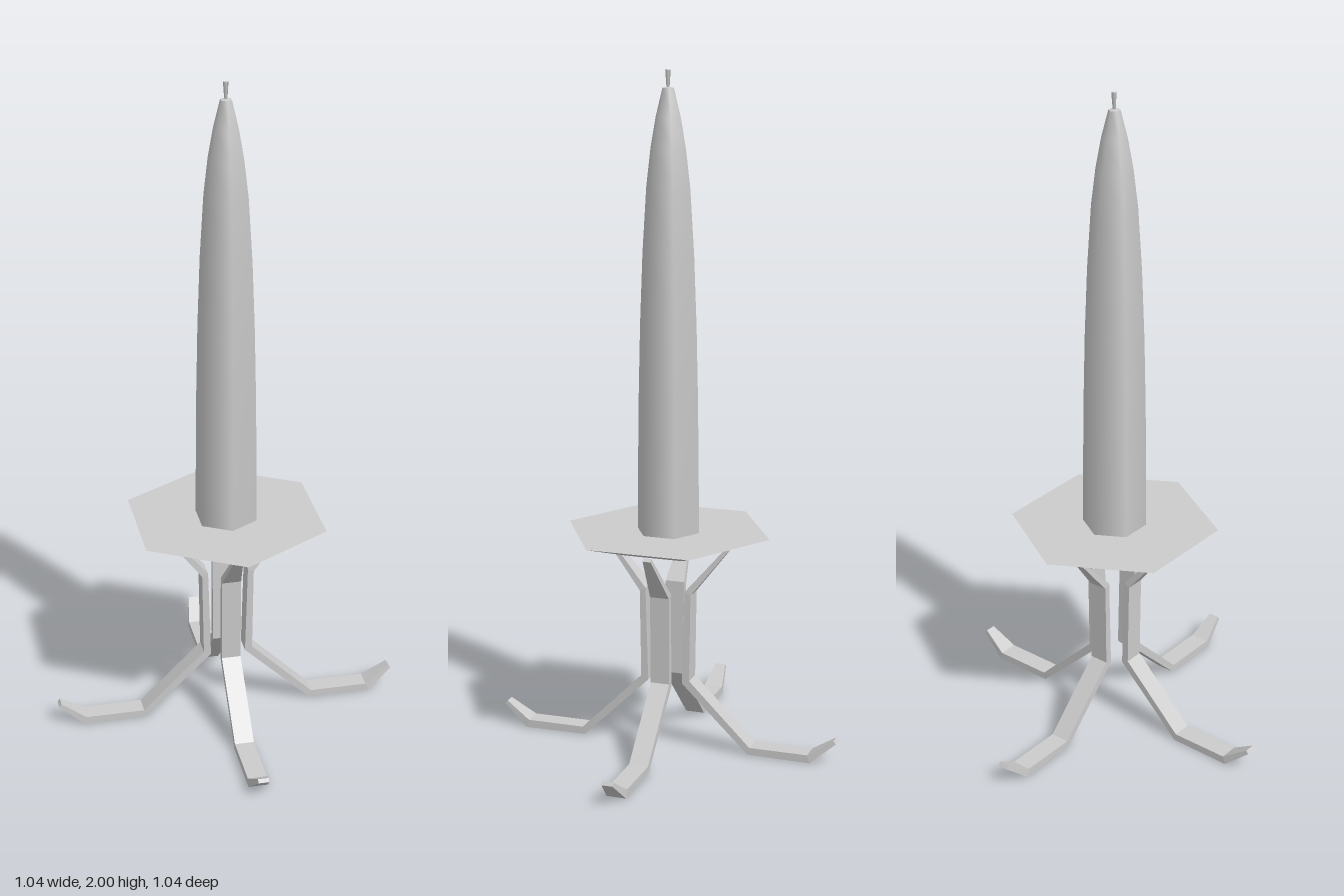
import * as THREE from 'three';

const material = new THREE.MeshStandardMaterial({ color: 0xcccccc, side: THREE.DoubleSide });

// Turned part from [radius, height] pairs
function turned(name, profile, sides) {
  const points = profile.map(([r, y]) => new THREE.Vector2(r, y));
  const mesh = new THREE.Mesh(new THREE.LatheGeometry(points, sides), material);
  mesh.name = name;
  return mesh;
}

// Leg stations: outer x, y, inner x, y, half width
const legStations = [
  [0.19, 0.617, 0.182, 0.625, 0.012],
  [0.079, 0.475, 0.061, 0.485, 0.029],
  [0.075, 0.21, 0.053, 0.2, 0.029],
  [0.263, 0.024, 0.257, 0.002, 0.029],
  [0.44, 0.024, 0.448, 0, 0.029],
  [0.515, 0.073, 0.522, 0.063, 0.016],
];

// Bent flat bar lofted through rectangular sections
function legGeometry() {
  const rings = legStations.map(([ox, oy, ix, iy, w]) =>
    [[ox, oy, w], [ox, oy, -w], [ix, iy, -w], [ix, iy, w]]);
  const positions = [];
  const quad = (a, b, c, d) => positions.push(...a, ...b, ...c, ...a, ...c, ...d);
  for (let i = 0; i < rings.length - 1; i++) {
    const r = rings[i], s = rings[i + 1];
    for (let k = 0; k < 4; k++) {
      const n = (k + 1) % 4;
      quad(r[k], s[k], s[n], r[n]);
    }
  }
  const first = rings[0], last = rings[rings.length - 1];
  quad(first[0], first[1], first[2], first[3]);
  quad(last[0], last[3], last[2], last[1]);
  const geometry = new THREE.BufferGeometry();
  geometry.setAttribute('position', new THREE.Float32BufferAttribute(positions, 3));
  geometry.computeVertexNormals();
  return geometry;
}

export function createModel() {
  const model = new THREE.Group();
  model.name = 'candleHolder';

  // Tapered six-sided candle
  model.add(turned('candle', [
    [0.095, 0.66], [0.094, 0.8], [0.091, 1.05], [0.086, 1.27], [0.078, 1.48],
    [0.066, 1.67], [0.053, 1.78], [0.037, 1.87], [0.017, 1.95],
  ], 6));
  const tip = turned('candleTip', [[0.017, 1.95], [0, 1.953]], 6);
  model.add(tip);

  // Wick, slightly flared at the top
  const wick = new THREE.Mesh(new THREE.CylinderGeometry(0.009, 0.005, 0.052, 3), material);
  wick.name = 'wick';
  wick.position.y = 1.974;
  model.add(wick);

  // Shallow hexagonal drip dish: flat top and curved underside
  model.add(turned('dishTop', [[0.31, 0.66], [0, 0.66]], 6));
  model.add(turned('dishUnderside', [
    [0, 0.592], [0.07, 0.597], [0.15, 0.611], [0.23, 0.635], [0.31, 0.66],
  ], 6));

  // Four bent legs around the centre
  const leg = legGeometry();
  for (let i = 0; i < 4; i++) {
    const mesh = new THREE.Mesh(leg, material);
    mesh.name = 'leg' + (i + 1);
    mesh.rotation.y = i * Math.PI / 2;
    model.add(mesh);
  }
  return model;
}
